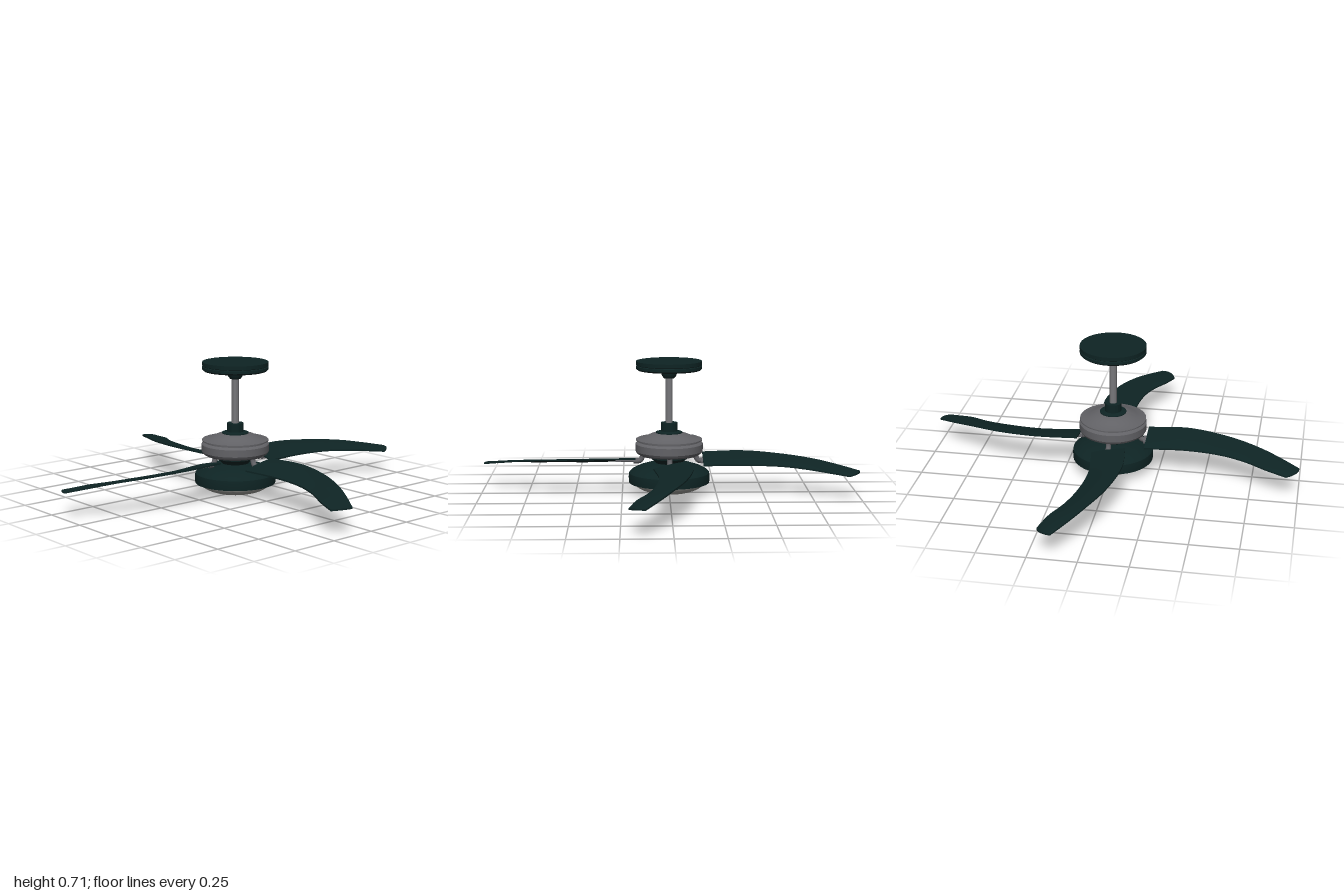
import * as THREE from 'three';
import { toCreasedNormals } from 'three/addons/utils/BufferGeometryUtils.js';

const material = (name, color) => {
  const m = new THREE.MeshStandardMaterial({ color });
  m.name = name;
  return m;
};

// Blade outline: rear edge and front edge as [x, y, z]
const REAR = [[0.18, 0.205, -0.095], [0.4, 0.207, -0.113], [0.62, 0.195, -0.068],
  [0.78, 0.18, 0.0], [0.89, 0.162, 0.06], [1.0, 0.141, 0.13]];
const FRONT = [[0.18, 0.166, 0.085], [0.4, 0.163, 0.06], [0.59, 0.16, 0.08],
  [0.72, 0.152, 0.12], [0.83, 0.143, 0.175], [0.935, 0.13, 0.21]];

function bladeGeometry() {
  const curve = pts => new THREE.CatmullRomCurve3(pts.map(p => new THREE.Vector3(...p)));
  const rear = curve(REAR), front = curve(FRONT);
  const steps = 32, across = 10, ring = 2 * (across + 1), thick = 0.008;
  const pos = [], index = [];
  for (let i = 0; i <= steps; i++) {
    const t = i / steps, a = rear.getPoint(t), b = front.getPoint(t);
    const point = (v, drop) => {
      const p = a.clone().lerp(b, v);
      const bulge = 4 * v * (1 - v);
      const tip = 0.018 * bulge * t ** 8; // rounded tip
      pos.push(p.x + tip * 0.8, p.y + 0.004 * bulge - drop, p.z + tip * 0.6);
    };
    for (let k = 0; k <= across; k++) point(k / across, 0);
    for (let k = across; k >= 0; k--) point(k / across, thick);
  }
  for (let i = 0; i < steps; i++) {
    for (let j = 0; j < ring; j++) {
      const a = i * ring + j, b = i * ring + (j + 1) % ring;
      index.push(a, b, a + ring, b, b + ring, a + ring);
    }
  }
  // End caps
  const last = steps * ring;
  for (let k = 0; k < across; k++) {
    const q = ring - 1 - k;
    index.push(k, q, k + 1, k + 1, q, q - 1);
    index.push(last + k, last + k + 1, last + q, last + k + 1, last + q - 1, last + q);
  }
  const g = new THREE.BufferGeometry();
  g.setAttribute('position', new THREE.Float32BufferAttribute(pos, 3));
  g.setIndex(index);
  return toCreasedNormals(g, 0.6);
}

export function createModel() {
  const green = material('dark green paint', 0x0e2424);
  const grey = material('grey metal', 0x626266);
  const steel = material('rod steel', 0x77777a);
  const glass = material('frosted glass', 0x9c9c98);

  const fan = new THREE.Group();
  fan.name = 'ceilingFan';
  const add = (parent, name, geometry, mat) => {
    const mesh = new THREE.Mesh(geometry, mat);
    mesh.name = name;
    parent.add(mesh);
    return mesh;
  };
  // Turned parts: profile of [radius, y], bottom to top
  const turned = (name, profile, mat) => add(fan, name, toCreasedNormals(
    new THREE.LatheGeometry(profile.map(p => new THREE.Vector2(...p)), 64), 0.5), mat);

  turned('canopy', [[0, 0.617], [0.028, 0.617], [0.038, 0.63], [0.042, 0.646], [0.06, 0.648],
    [0.165, 0.66], [0.174, 0.668], [0.174, 0.682], [0.17, 0.685], [0.174, 0.688],
    [0.174, 0.708], [0, 0.708]], green);
  turned('downRod', [[0.019, 0.35], [0.019, 0.63]], steel);
  turned('rodCollar', [[0.07, 0.318], [0.07, 0.33], [0.044, 0.335], [0.044, 0.38], [0, 0.38]], green);
  turned('motorHousing', [[0, 0.208], [0.155, 0.208], [0.172, 0.218], [0.179, 0.23], [0.179, 0.268],
    [0.172, 0.276], [0.164, 0.279], [0.164, 0.284], [0.176, 0.286], [0.176, 0.292], [0.15, 0.296],
    [0.125, 0.306], [0.1, 0.317], [0.075, 0.325], [0, 0.327]], grey);
  turned('neck', [[0.068, 0.155], [0.075, 0.17], [0.1, 0.19], [0.104, 0.21]], green);
  turned('lightHousing', [[0, 0.06], [0.214, 0.06], [0.216, 0.09], [0.213, 0.112], [0.2, 0.125],
    [0.165, 0.142], [0.12, 0.156], [0.07, 0.165], [0, 0.167]], green);

  // Shallow glass bowl
  const bowl = [];
  for (let i = 0; i <= 14; i++) {
    const a = i / 14 * Math.PI / 2;
    bowl.push([0.188 * Math.sin(a), 0.062 - 0.062 * Math.cos(a)]);
  }
  turned('lightBowl', bowl, glass);

  // Four blades, each with a curled bracket under the motor
  const blade = bladeGeometry();
  const bend = new THREE.CatmullRomCurve3([[0.14, 0.225, 0], [0.143, 0.195, 0],
    [0.155, 0.176, 0], [0.19, 0.173, 0]].map(p => new THREE.Vector3(...p)));
  const bracket = new THREE.TubeGeometry(bend, 16, 0.014, 10);
  const plate = new THREE.BoxGeometry(0.12, 0.012, 0.055);
  for (let i = 0; i < 4; i++) {
    const arm = new THREE.Group();
    arm.name = 'bladeArm' + (i + 1);
    arm.rotation.y = i * Math.PI / 2;
    add(arm, 'blade', blade, green);
    add(arm, 'bracket', bracket, grey);
    const p = add(arm, 'bracketPlate', plate, grey);
    p.position.set(0.225, 0.174, 0);
    p.rotation.x = 0.21;
    fan.add(arm);
  }
  return fan;
}
